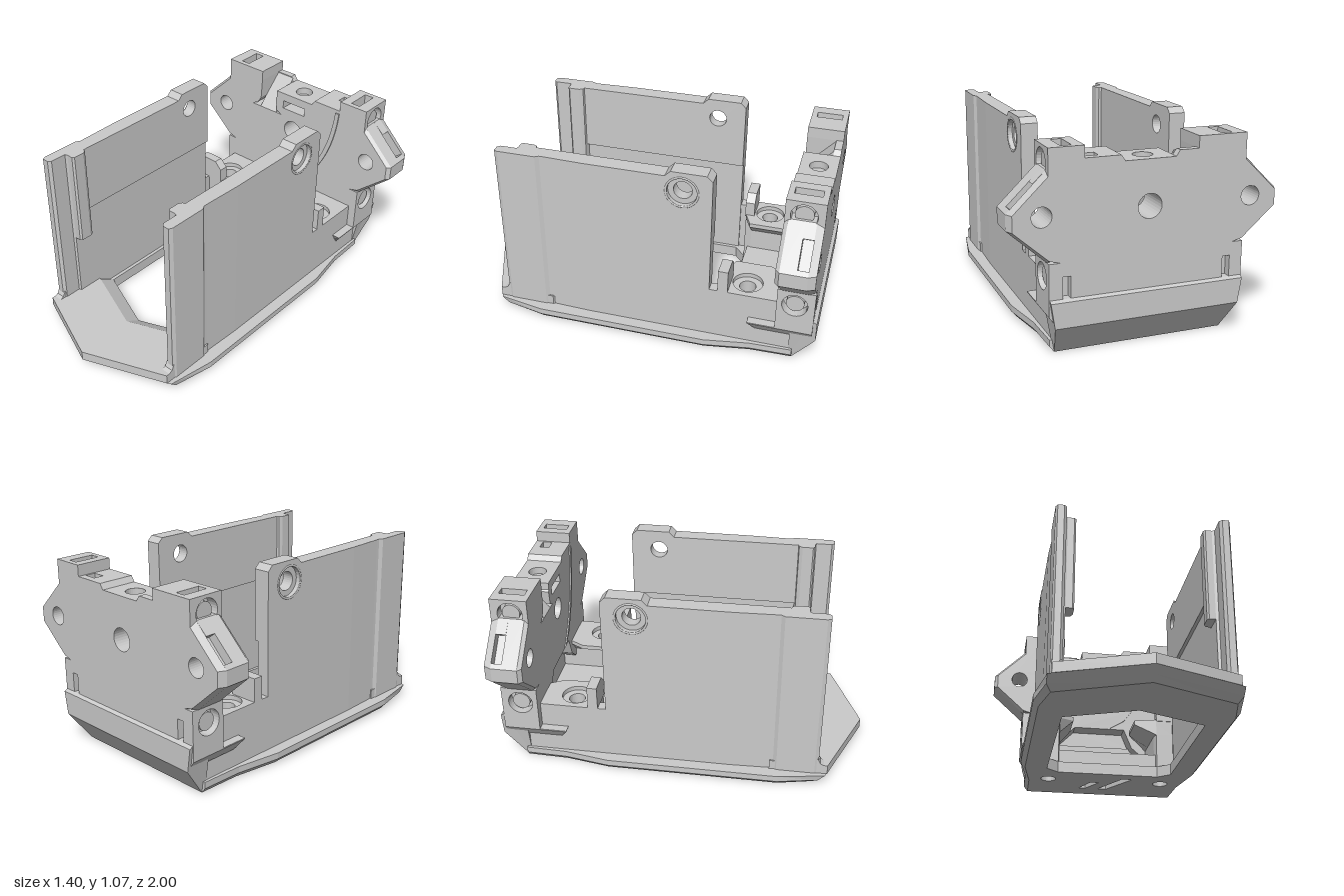
import * as THREE from 'three';

export function createModel() {
  const model = new THREE.Group();
  const grey = new THREE.MeshStandardMaterial({ color: 0xcacaca });
  grey.name = 'grey plastic';

  // Point lists: circle, rectangle and left-right mirrored outline
  const circle = (u, v, r, n = 28) => Array.from({ length: n }, (_, i) => {
    const a = (i / n) * Math.PI * 2;
    return [u + r * Math.cos(a), v + r * Math.sin(a)];
  });
  const rect = (u0, v0, u1, v1) => [[u0, v0], [u1, v0], [u1, v1], [u0, v1]];
  const mirrored = (pts) => [
    ...pts,
    ...pts.slice().reverse().filter((p) => p[0] !== 0).map(([x, v]) => [-x, v]),
  ];

  // Extrude an outline from a to b along an axis.
  // Points are [x,y] for 'z', [x,z] for 'y' and [z,y] for 'x'.
  function slab(name, axis, pts, holes, a, b, side = 1, rule = null) {
    const map = ([u, v]) => axis === 'x' ? new THREE.Vector2(-u, v)
      : new THREE.Vector2(u * side, axis === 'y' ? -v : v);
    const outline = pts.map(map);
    // a counter-clockwise outline keeps the hole walls facing inwards
    if (THREE.ShapeUtils.isClockWise(outline)) outline.reverse();
    const shape = new THREE.Shape(outline);
    shape.holes = holes.map((h) => new THREE.Path(h.map(map)));
    const g = new THREE.ExtrudeGeometry(shape, { depth: b - a, bevelEnabled: false });
    if (axis === 'x') g.rotateY(Math.PI / 2).translate(side > 0 ? a : -b, 0, 0);
    else if (axis === 'y') g.rotateX(-Math.PI / 2).translate(0, a, 0);
    else g.translate(0, 0, a);
    if (rule) {
      const p = g.attributes.position;
      for (let i = 0; i < p.count; i++) {
        const v = new THREE.Vector3().fromBufferAttribute(p, i);
        rule(v);
        p.setXYZ(i, v.x, v.y, v.z);
      }
      g.computeVertexNormals();
    }
    const mesh = new THREE.Mesh(g, grey);
    mesh.name = name;
    model.add(mesh);
  }

  // Base plate with pointed nose, window, screw holes and diagonal vents
  const baseOutline = mirrored([[0, 1], [0.48, 0.81], [0.525, 0.55], [0.525, -0.4],
    [0.482, -0.65], [0.475, -0.88]]);
  const opening = mirrored([[0, 0.58], [0.37, 0.43], [0.37, -0.4], [0.3, -0.46]]);
  const vents = [
    [[-0.14, -0.76], [-0.1, -0.76], [-0.03, -0.63], [-0.08, -0.63]],
    [[-0.02, -0.76], [0.03, -0.76], [0.16, -0.54], [0.1, -0.54]],
  ];
  const baseHoles = [opening, ...vents, circle(0.345, -0.6, 0.045), circle(-0.345, -0.6, 0.045)];
  const taper = (v) => {
    if (Math.abs(v.x) < 0.4 && v.z < 0.7 && v.z > -0.8) return;
    if (v.y < 0.01) v.x *= 0.95;
    if (v.z > 0.7) v.z -= (0.065 - v.y) * 1.08;
  };
  slab('baseLower', 'y', baseOutline, baseHoles, 0, 0.03, 1, taper);
  slab('baseUpper', 'y', baseOutline, baseHoles, 0.03, 0.065, 1, taper);

  // Raised nose with sloped inner edge
  slab('nose', 'y', [[0, 1], [0.46, 0.82], [0.46, 0.5], [0.38, 0.52], [0, 0.67],
    [-0.38, 0.52], [-0.46, 0.5], [-0.46, 0.82]], [], 0.065, 0.12, 1, (v) => {
    if (v.y < 0.07 && v.z < 0.7 && Math.abs(v.x) < 0.4) v.z -= 0.09;
  });

  // Rear floor between the shelves
  slab('rearFloor', 'y', rect(-0.3, -0.88, 0.3, -0.48), vents, 0.065, 0.145);

  // Rear chin, narrowing towards the bottom
  const chinWidth = (y) => (y < 0.01 ? 0.45 : y < 0.2 ? 0.485 : 0.505);
  slab('chin', 'x', [[-0.86, 0], [-0.88, 0], [-1, 0.17], [-1, 0.3], [-0.98, 0.31], [-0.86, 0.31]],
    [], -1, 1, 1, (v) => { v.x *= chinWidth(v.y); });

  for (const s of [1, -1]) {
    const n = s > 0 ? 'left' : 'right';

    // Chin cheeks beside the rear cavity
    slab(n + 'Cheek', 'x', rect(-0.88, 0.03, -0.78, 0.31), [], 0.29, 0.46, s);

    // Side wall, thicker above, with raised corner and countersunk hole
    const wall = [[0.57, 0.06], [0.57, 1.04], [-0.16, 1.04], [-0.19, 1.07], [-0.38, 1.07],
      [-0.41, 1.04], [-0.41, 0.06]];
    slab(n + 'WallUpper', 'x', [[0.57, 0.66], ...wall.slice(1, 6), [-0.41, 0.66]],
      [circle(-0.25, 0.955, 0.05)], 0.37, 0.435, s);
    slab(n + 'WallLower', 'x', rect(-0.41, 0.06, 0.57, 0.66), [], 0.39, 0.435, s);
    slab(n + 'WallOuter', 'x', [[0.28, 0.06], [0.28, 1.04], ...wall.slice(2)],
      [circle(-0.25, 0.955, 0.08)], 0.435, 0.46, s);
    const ring = new THREE.Mesh(new THREE.TorusGeometry(0.086, 0.007, 8, 32), grey);
    ring.name = n + 'WallRing';
    ring.rotation.y = Math.PI / 2;
    ring.position.set(s * 0.456, 0.955, -0.25);
    model.add(ring);

    // Front post, shallow outer groove and inner rib
    slab(n + 'FrontPost', 'y', [[0.39, 0.5], [0.39, 0.66], [0.405, 0.665], [0.405, 0.755], [0.42, 0.77],
      [0.455, 0.77], [0.465, 0.75], [0.465, 0.54], [0.452, 0.52], [0.452, 0.5], [0.46, 0.28],
      [0.42, 0.28], [0.42, 0.5]], [], 0.06, 1.04, s);
    slab(n + 'InnerRib', 'y', [[0.39, 0.56], [0.355, 0.57], [0.345, 0.59], [0.345, 0.65],
      [0.355, 0.66], [0.4, 0.66], [0.4, 0.56]], [], 0.5, 1.04, s);
    slab(n + 'PostFoot', 'x', [[0.81, 0.065], [0.8, 0.12], [0.78, 0.13], [0.765, 0.16], [0.7, 0.16],
      [0.7, 0.065]], [], 0.41, 0.46, s);

    // Screw shelf: narrow foot, flared middle and countersunk top
    const inner = s > 0 ? 0.17 : 0.21;
    const shelf = [[0.3, -0.46], [inner, -0.5], [inner, -0.7], [inner + 0.05, -0.79],
      [0.46, -0.79], [0.46, -0.4], [0.4, -0.4], [0.4, -0.46]];
    const undercut = (v) => {
      if (v.y < 0.28 && Math.abs(v.x) < 0.29) v.x = s * 0.29;
    };
    slab(n + 'ShelfFoot', 'y', shelf, [circle(0.345, -0.6, 0.045)], 0.06, 0.27, s, undercut);
    slab(n + 'ShelfFlare', 'y', shelf, [circle(0.345, -0.6, 0.045)], 0.27, 0.345, s, undercut);
    slab(n + 'ShelfTop', 'y', shelf, [circle(0.345, -0.6, 0.082)], 0.345, 0.37, s);

    // Small upright tab behind the wall
    slab(n + 'Tab', 'z', [[0.3, 0.36], [0.46, 0.36], [0.46, 0.5], [0.345, 0.5], [0.3, 0.455]], [],
      -0.51, -0.455, s);

    // Side arm with chamfered underside
    slab(n + 'Arm', 'z', [[0.43, 0.165], [0.465, 0.165], [0.508, 0.225], [0.508, 0.23], [0.43, 0.23]],
      [], -0.98, -0.63, s, (v) => { if (v.y < 0.2 && v.z > -0.7) v.z -= 0.04; });

    // End plates with screw sockets
    slab(n + 'LowerSocket', 'x', rect(-0.98, 0.23, -0.78, 0.49), [circle(-0.875, 0.4, 0.068)],
      0.44, 0.508, s);
    slab(n + 'UpperSocket', 'x', rect(-0.98, 0.86, -0.78, 1.04), [circle(-0.875, 0.955, 0.068)],
      0.45, 0.508, s);
    for (const y of [0.4, 0.955]) {
      const core = new THREE.Mesh(new THREE.CylinderGeometry(0.048, 0.048, 0.05, 28), grey);
      core.name = n + 'SocketCore';
      core.rotation.z = Math.PI / 2;
      core.position.set(s * 0.465, y, -0.875);
      model.add(core);
    }

    // Corner cap with a slot in its top
    slab(n + 'CornerCap', 'y', rect(s > 0 ? 0.33 : 0.25, -0.98, 0.451, -0.78),
      [rect(0.385, -0.95, 0.44, -0.81)], 0.98, 1.04, s);
  }

  // Back plate layers: back, slotted middle, recessed front and chamfered face
  const half = (notch) => [[0.45, 0.23], [0.45, 0.49], [0.505, 0.485], [0.7, 0.66], [0.7, 0.74],
    ...(notch ? [[0.68, 0.76], [0.64, 0.73], [0.53, 0.84], [0.57, 0.87]] : []),
    [0.505, 0.93], [0.45, 0.93], [0.45, 0.98]];
  const middleTop = [[0.15, 0.98], [0.13, 0.95], [0.13, 0.91]];
  const pocket = [[0.32, 0.98], [0.32, 0.84], [0.25, 0.84], [0.25, 0.98]];
  const recess = [[-0.13, 0.91], [-0.14, 0.9], [-0.13, 0.82], [-0.09, 0.8], [-0.32, 0.8],
    [-0.28, 0.82], [-0.255, 0.86], [-0.25, 0.98]];
  const archway = [[-0.29, 0.23], [-0.29, 0.29], [-0.17, 0.41], [0.15, 0.41], [0.2, 0.29], [0.27, 0.23]];
  const otherHalf = (notch) => half(notch).reverse().map(([x, y]) => [-x, y]);
  const through = [circle(0, 0.72, 0.062), circle(0.54, 0.72, 0.05), circle(-0.54, 0.72, 0.05)];
  const chamfer = (v) => {
    const x = Math.abs(v.x);
    if (x < 0.5 || (v.z > -0.97 && v.z < -0.79)) return;
    if (x > 0.6) v.x -= Math.sign(v.x) * 0.02;
    else if (v.y > 0.9) v.y -= 0.02;
    else if (v.y < 0.5) v.y += 0.02;
  };
  slab('backPlateRear', 'z', mirrored([...half(false), ...middleTop]),
    [...through, rect(0.4, 0.31, 0.44, 0.42), rect(-0.44, 0.31, -0.4, 0.42)], -0.98, -0.94, 1, chamfer);
  slab('backPlateMiddle', 'z', [...half(true), ...pocket, ...middleTop, ...recess, ...otherHalf(true)],
    through, -0.94, -0.885);
  const front = [...half(false), ...middleTop, ...recess, ...otherHalf(false), ...archway];
  const frontHoles = [...through, rect(-0.08, 0.85, 0.08, 0.9)];
  slab('backPlateFront', 'z', front, frontHoles, -0.885, -0.8);
  slab('backPlateFace', 'z', front, frontHoles, -0.8, -0.78, 1, chamfer);

  // Sloped scoop in the recess and drilled centre cap
  slab('scoop', 'x', [[-0.94, 0.8], [-0.78, 0.8], [-0.94, 0.975]], [], -0.255, -0.135);
  slab('centreCap', 'y', rect(-0.132, -0.98, 0.132, -0.78), [circle(0, -0.88, 0.05)], 0.91, 0.95);

  // Curved rib on the front of the back plate
  const arc = (x0, y0, x1, y1, x2, y2) => new THREE.QuadraticBezierCurve(
    new THREE.Vector2(x0, y0), new THREE.Vector2(x1, y1), new THREE.Vector2(x2, y2),
  ).getPoints(16).map((p) => [p.x, p.y]);
  slab('curvedRib', 'z', [...arc(0.33, 0.96, 0.31, 0.67, 0.15, 0.47),
    ...arc(0.06, 0.415, 0.27, 0.6, 0.305, 0.96)], [], -0.781, -0.773);

  return model;
}
